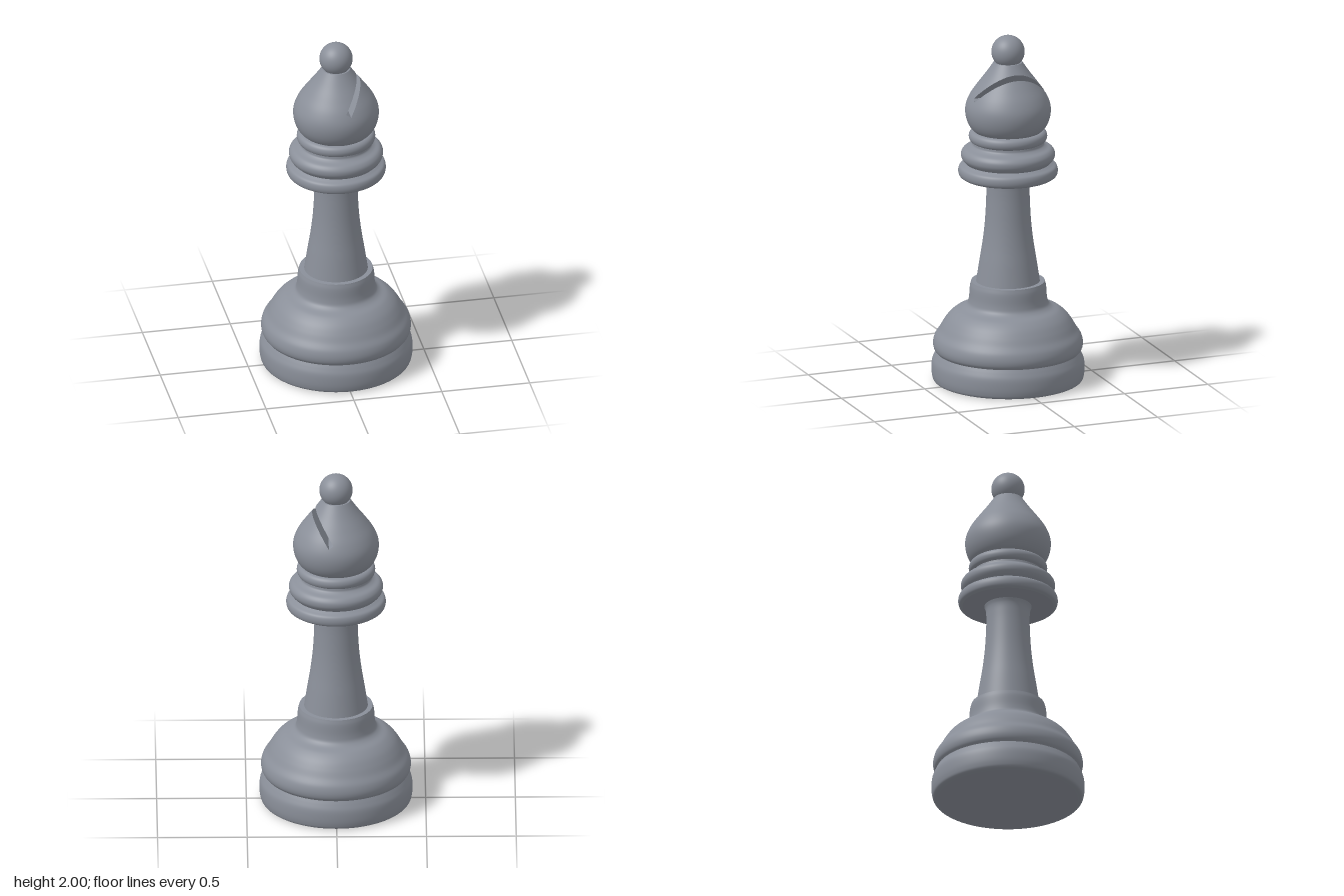
import * as THREE from 'three';

const SIDES = 96;

// Smooth curve through [radius, height] points
function smooth(points, steps = 6) {
  const curve = new THREE.CatmullRomCurve3(points.map(([r, y]) => new THREE.Vector3(r, y, 0)));
  return curve.getPoints((points.length - 1) * steps).map(p => new THREE.Vector2(Math.max(p.x, 0), p.y));
}

const straight = points => points.map(([r, y]) => new THREE.Vector2(r, y));

// Mitre slot: a slab running through z, given by its floor centre, direction and half width
const slot = { x: 0.029, y: 1.65, dx: 0.575, dy: 0.818, half: 0.016 };
const along = p => (p.x - slot.x) * slot.dx + (p.y - slot.y) * slot.dy;
const across = p => (p.x - slot.x) * slot.dy - (p.y - slot.y) * slot.dx;

// Part of a polygon where the signed distance is positive
function clip(polygon, distance) {
  const out = [];
  polygon.forEach((a, i) => {
    const b = polygon[(i + 1) % polygon.length];
    const da = distance(a.p), db = distance(b.p);
    if (da >= 0) out.push(a);
    if ((da >= 0) !== (db >= 0)) {
      const t = da / (da - db);
      out.push({ p: a.p.clone().lerp(b.p, t), n: a.n.clone().lerp(b.n, t).normalize() });
    }
  });
  return out;
}

// Removes the slot from a surface, keeping its smooth normals
function cutSlot(geometry) {
  const source = geometry.toNonIndexed();
  const { position, normal } = source.attributes;
  const positions = [], normals = [];
  const outside = [p => -along(p), p => across(p) - slot.half, p => -across(p) - slot.half];
  for (let i = 0; i < position.count; i += 3) {
    let rest = [0, 1, 2].map(k => ({
      p: new THREE.Vector3().fromBufferAttribute(position, i + k),
      n: new THREE.Vector3().fromBufferAttribute(normal, i + k),
    }));
    for (const distance of outside) {
      const kept = clip(rest, distance);
      for (let k = 1; k + 1 < kept.length; k++) {
        for (const v of [kept[0], kept[k], kept[k + 1]]) {
          positions.push(v.p.x, v.p.y, v.p.z);
          normals.push(v.n.x, v.n.y, v.n.z);
        }
      }
      rest = clip(rest, p => -distance(p));
      if (rest.length < 3) break;
    }
  }
  const result = new THREE.BufferGeometry();
  result.setAttribute('position', new THREE.Float32BufferAttribute(positions, 3));
  result.setAttribute('normal', new THREE.Float32BufferAttribute(normals, 3));
  return result;
}

// Walls and floor of the slot, spanning the head's thickness in z
function slotLining(profile) {
  const radiusAt = y => {
    const i = profile.findIndex(p => p.y >= y);
    if (i < 1) return 0;
    const a = profile[i - 1], b = profile[i];
    return a.x + (b.x - a.x) * (y - a.y) / (b.y - a.y);
  };
  const pointAt = (s, t) => {
    const x = slot.x + slot.dx * s + slot.dy * t;
    const y = slot.y + slot.dy * s - slot.dx * t;
    return { x, y, gap: radiusAt(y) ** 2 - x * x };
  };
  const wall = t => {
    let lo = 0, hi = 0.4;
    for (let i = 0; i < 40; i++) {
      const mid = (lo + hi) / 2;
      if (pointAt(mid, t).gap > 0) lo = mid; else hi = mid;
    }
    // Steps shorten towards the mouth, where the outline curves most
    return Array.from({ length: 41 }, (_, i) => pointAt(lo * (1 - (1 - i / 40) ** 2), t));
  };
  const path = [...wall(-slot.half).reverse(), ...wall(slot.half)];
  const positions = [];
  for (let i = 0; i + 1 < path.length; i++) {
    const a = path[i], b = path[i + 1];
    const za = Math.sqrt(Math.max(a.gap, 0)), zb = Math.sqrt(Math.max(b.gap, 0));
    positions.push(a.x, a.y, -za, a.x, a.y, za, b.x, b.y, zb);
    positions.push(a.x, a.y, -za, b.x, b.y, zb, b.x, b.y, -zb);
  }
  const geometry = new THREE.BufferGeometry();
  geometry.setAttribute('position', new THREE.Float32BufferAttribute(positions, 3));
  geometry.computeVertexNormals();
  return geometry;
}

export function createModel() {
  const model = new THREE.Group();
  model.name = 'chessBishop';
  const grey = new THREE.MeshStandardMaterial({ color: 0x8a8f99, side: THREE.DoubleSide });
  grey.name = 'slateGrey';

  const add = (name, geometry) => {
    const mesh = new THREE.Mesh(geometry, grey);
    mesh.name = name;
    model.add(mesh);
    return mesh;
  };
  const turn = (name, profile) => add(name, new THREE.LatheGeometry(profile, SIDES));

  // Base
  turn('underside', straight([[0, 0], [0.39, 0]]));
  turn('foot', smooth([[0.39, 0], [0.415, 0.01], [0.424, 0.035], [0.427, 0.08], [0.423, 0.12], [0.411, 0.15], [0.4, 0.172]]));
  turn('baseDome', smooth([
    [0.4, 0.172], [0.413, 0.19], [0.418, 0.22], [0.409, 0.26], [0.383, 0.3], [0.36, 0.34],
    [0.33, 0.38], [0.29, 0.412], [0.245, 0.432], [0.226, 0.45], [0.218, 0.48], [0.212, 0.55], [0.205, 0.578],
  ]));
  turn('baseTop', straight([[0.205, 0.578], [0.16, 0.578]]));

  // Stem
  turn('stem', smooth([
    [0.178, 0.575], [0.159, 0.7], [0.143, 0.8], [0.131, 0.9], [0.124, 1.0], [0.121, 1.1], [0.124, 1.16], [0.135, 1.19],
  ]));

  // Collar of three stacked rings
  turn('collarUnderside', straight([[0.1, 1.183], [0.255, 1.183]]));
  turn('lowerRing', smooth([[0.255, 1.183], [0.272, 1.195], [0.278, 1.22], [0.271, 1.245], [0.25, 1.258], [0.236, 1.266]]));
  turn('middleRing', smooth([
    [0.236, 1.266], [0.25, 1.28], [0.261, 1.3], [0.261, 1.325], [0.245, 1.347], [0.215, 1.36], [0.2, 1.372], [0.197, 1.387],
  ]));
  turn('upperRing', smooth([[0.197, 1.387], [0.212, 1.397], [0.219, 1.418], [0.214, 1.438], [0.2, 1.45], [0.17, 1.453]]));

  // Head with its diagonal slot
  const head = smooth([
    [0.185, 1.448], [0.208, 1.47], [0.229, 1.51], [0.239, 1.56], [0.235, 1.605], [0.212, 1.66],
    [0.171, 1.72], [0.126, 1.78], [0.098, 1.82], [0.08, 1.847],
  ]);
  add('head', cutSlot(new THREE.LatheGeometry(head, SIDES)));
  add('headSlot', slotLining(head));
  turn('headTop', straight([[0.08, 1.847], [0, 1.847]]));

  // Finial
  add('finialBall', new THREE.SphereGeometry(0.093, 48, 32)).position.y = 1.907;

  return model;
}
